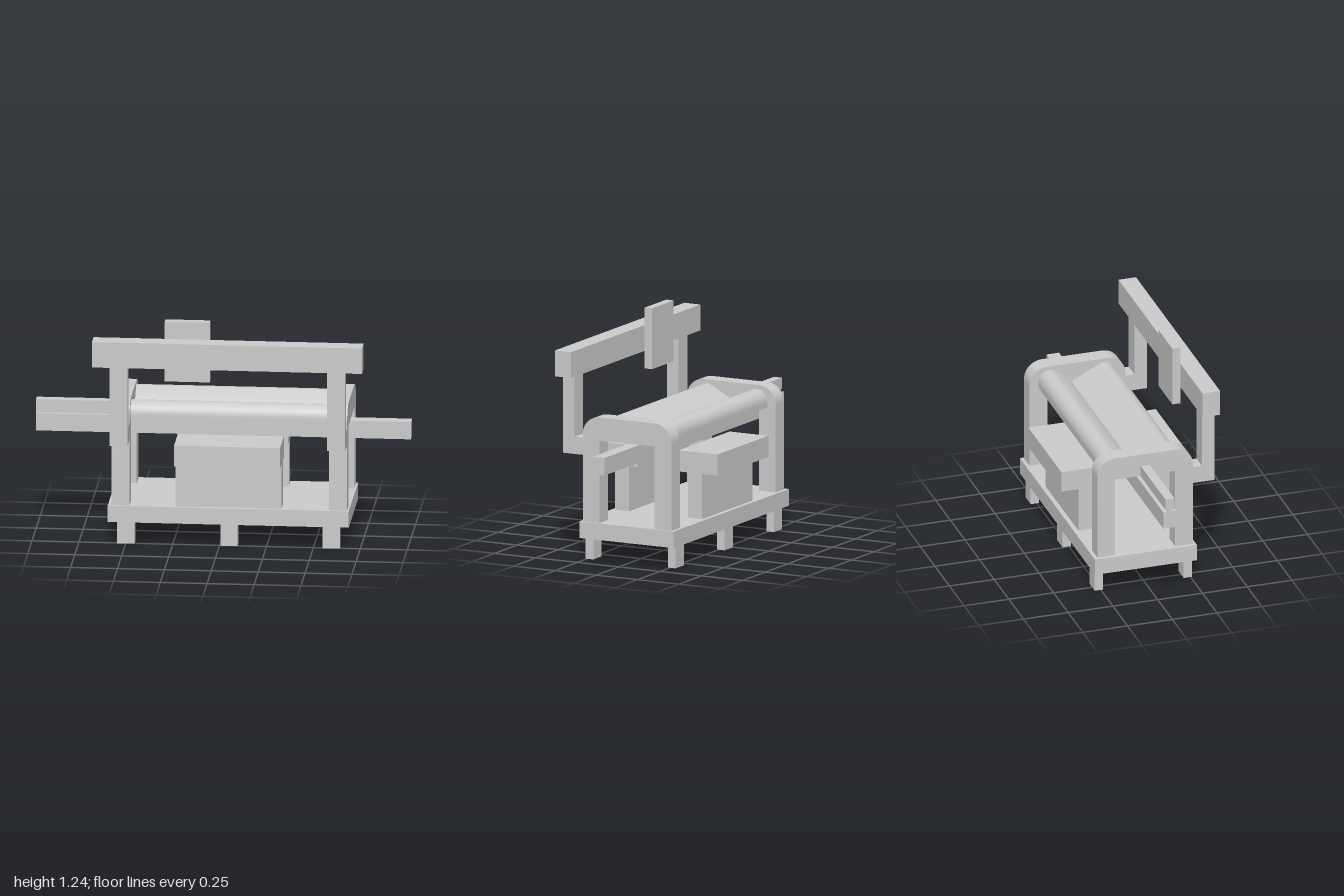
import * as THREE from 'three';
import { toCreasedNormals } from 'three/addons/utils/BufferGeometryUtils.js';

export function createModel() {
  const model = new THREE.Group();
  const material = new THREE.MeshStandardMaterial({ color: 0xcccccc });

  const add = (name, geometry) => {
    const mesh = new THREE.Mesh(geometry, material);
    mesh.name = name;
    model.add(mesh);
  };

  // Box given by its extents along each axis
  const box = (name, [x0, x1], [y0, y1], [z0, z1]) => {
    const g = new THREE.BoxGeometry(x1 - x0, y1 - y0, z1 - z0);
    g.translate((x0 + x1) / 2, (y0 + y1) / 2, (z0 + z1) / 2);
    add(name, g);
  };

  // Profile drawn in (z, y), swept from x0 to x1
  const sweep = (name, shape, [x0, x1]) => {
    const g = new THREE.ExtrudeGeometry(shape, { depth: x1 - x0, bevelEnabled: false, curveSegments: 12 });
    g.rotateY(-Math.PI / 2);
    g.translate(x1, 0, 0);
    add(name, toCreasedNormals(g, 0.5));
  };

  const sides = [['right', [-0.575, -0.48]], ['left', [0.585, 0.68]]];

  // Base plate on six feet
  box('base', [-0.595, 0.69], [0.12, 0.21], [-0.3, 0.27]);
  for (const x of [-0.545, 0.005, 0.55]) {
    for (const z of [-0.285, 0.212]) box('foot', [x, x + 0.092], [0, 0.12], [z, z + 0.046]);
  }

  // Round-shouldered end arches with square inner corners
  const arch = new THREE.Shape();
  arch.moveTo(0.255, 0.21);
  arch.lineTo(0.255, 0.682);
  arch.absarc(0.155, 0.682, 0.1, 0, Math.PI / 2, false);
  arch.lineTo(-0.18, 0.782);
  arch.absarc(-0.18, 0.682, 0.1, Math.PI / 2, Math.PI, false);
  arch.lineTo(-0.28, 0.21);
  arch.lineTo(-0.18, 0.21);
  arch.lineTo(-0.18, 0.657);
  arch.lineTo(0.155, 0.657);
  arch.lineTo(0.155, 0.21);

  // L-shaped beam supports standing out from the arches
  const support = new THREE.Shape([
    [0.255, 0.57], [0.375, 0.57], [0.375, 1], [0.305, 1], [0.305, 0.663], [0.255, 0.663],
  ].map(([z, y]) => new THREE.Vector2(z, y)));

  for (const [side, span] of sides) {
    sweep(side + 'Arch', arch, span);
    sweep(side + 'BeamSupport', support, span);
  }

  // Front beam with its sliding panel
  box('frontBeam', [-0.67, 0.77], [1, 1.14], [0.277, 0.375]);
  box('panel', [-0.29, -0.05], [0.905, 1.235], [0.232, 0.277]);

  // Bed between the arches: rounded outer edges and a V-shaped trough
  const bed = new THREE.Shape();
  bed.moveTo(-0.23, 0.665);
  bed.lineTo(0.2, 0.665);
  bed.lineTo(0.2, 0.695);
  bed.absarc(0.135, 0.695, 0.065, 0, Math.PI / 2 + 0.4, false);
  bed.lineTo(-0.045, 0.675);
  bed.lineTo(-0.14, 0.752);
  bed.absarc(-0.165, 0.695, 0.065, Math.PI / 2 - 0.5, Math.PI, false);
  sweep('troughBed', bed, [-0.48, 0.585]);

  // Long rail through the arches, with a short T-footed slide on the right
  box('rail', [-1, 1], [0.545, 0.64], [-0.05, 0.02]);
  box('slideStem', [-1, -0.5], [0.64, 0.654], [-0.027, 0]);
  box('slide', [-1, -0.5], [0.654, 0.715], [-0.038, 0.012]);

  // Front and rear shelves on upright walls
  const shelfSpan = [-0.235, 0.33];
  box('frontShelf', shelfSpan, [0.455, 0.57], [0.11, 0.342]);
  box('frontShelfWall', shelfSpan, [0.21, 0.455], [0.165, 0.25]);
  box('rearShelf', shelfSpan, [0.455, 0.57], [-0.37, -0.135]);
  box('rearShelfWall', shelfSpan, [0.21, 0.455], [-0.275, -0.19]);

  return model;
}
